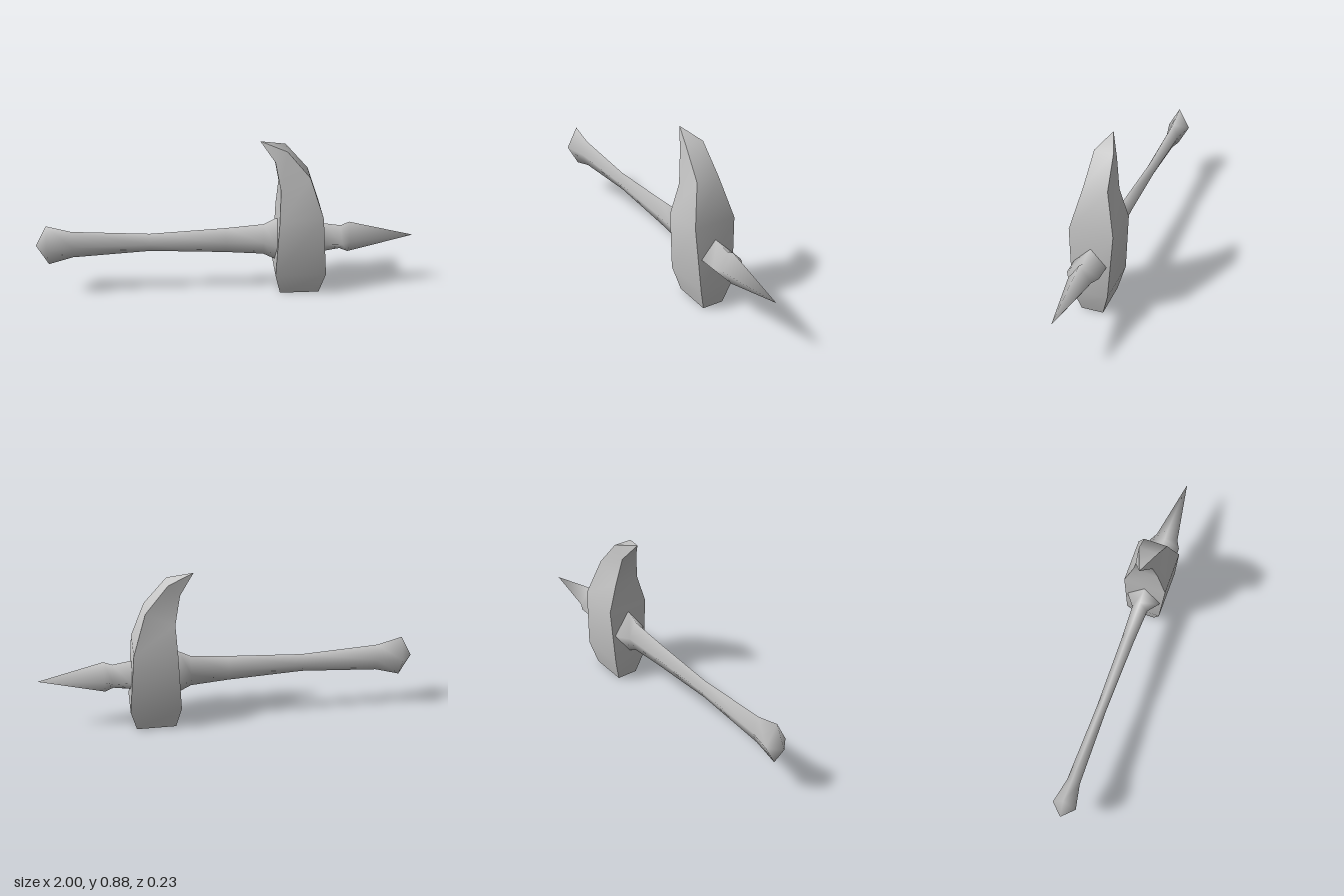
import * as THREE from 'three';
import { mergeVertices, toCreasedNormals } from 'three/addons/utils/BufferGeometryUtils.js';

const steel = new THREE.MeshStandardMaterial({ color: 0xc6c6c6 });
steel.name = 'steel grey';
const AXIS_Y = 0.305;

// Skin a list of four-cornered rings; a ring shrunk to a point closes an end.
function loft(rings) {
  const index = [];
  for (let i = 0; i < rings.length - 1; i++) {
    for (let j = 0; j < 4; j++) {
      const a = i * 4 + j, b = i * 4 + (j + 1) % 4;
      index.push(a, b, b + 4, a, b + 4, a + 4);
    }
  }
  const geo = new THREE.BufferGeometry();
  geo.setAttribute('position', new THREE.Float32BufferAttribute(rings.flat(2), 3));
  geo.setIndex(index);
  const merged = mergeVertices(geo);
  merged.computeVertexNormals();
  return merged;
}

function part(name, geometry) {
  const mesh = new THREE.Mesh(geometry, steel);
  mesh.name = name;
  return mesh;
}

// Diamond cross-section on the shaft axis: half height h, half depth d.
const diamond = ([x, h, d]) => [
  [x, AXIS_Y + h, 0], [x, AXIS_Y, d], [x, AXIS_Y - h, 0], [x, AXIS_Y, -d],
];

// Four-cornered head section: inner side (x, y, half depth), then outer side.
const slab = ([lx, ly, ld, rx, ry, rd]) => [
  [rx, ry, rd], [rx, ry, -rd], [lx, ly, -ld], [lx, ly, ld],
];

export function createModel() {
  const model = new THREE.Group();
  model.name = 'warHammer';

  // Shaft with flared pommel and a collar entering the head
  model.add(part('handle', loft([
    [-1, 0, 0], [-0.94, 0.115, 0.062], [-0.81, 0.077, 0.035], [-0.4, 0.052, 0.027],
    [0, 0.073, 0.034], [0.2, 0.09, 0.043], [0.26, 0.122, 0.09], [0.34, 0.122, 0.09],
    [0.34, 0, 0],
  ].map(diamond))));

  // Neck and spike beyond the head
  model.add(part('spike', loft([
    [0.46, 0, 0], [0.46, 0.09, 0.09], [0.52, 0.085, 0.085], [0.61, 0.07, 0.084],
    [0.655, 0.09, 0.06], [1, 0, 0],
  ].map(diamond))));

  // Head curving up into a beak: smooth sides with sharp corners
  model.add(part('head', toCreasedNormals(loft([
    [0.395, 0, 0, 0.395, 0, 0],
    [0.29, 0, 0.058, 0.5, 0, 0.058],
    [0.26, 0.13, 0.094, 0.53, 0.13, 0.094],
    [0.273, 0.46, 0.115, 0.5, 0.48, 0.115],
    [0.28, 0.62, 0.068, 0.43, 0.69, 0.063],
    [0.25, 0.775, 0.045, 0.31, 0.835, 0.05],
    [0.175, 0.875, 0, 0.175, 0.875, 0],
  ].map(slab)), 0.8)));

  return model;
}
